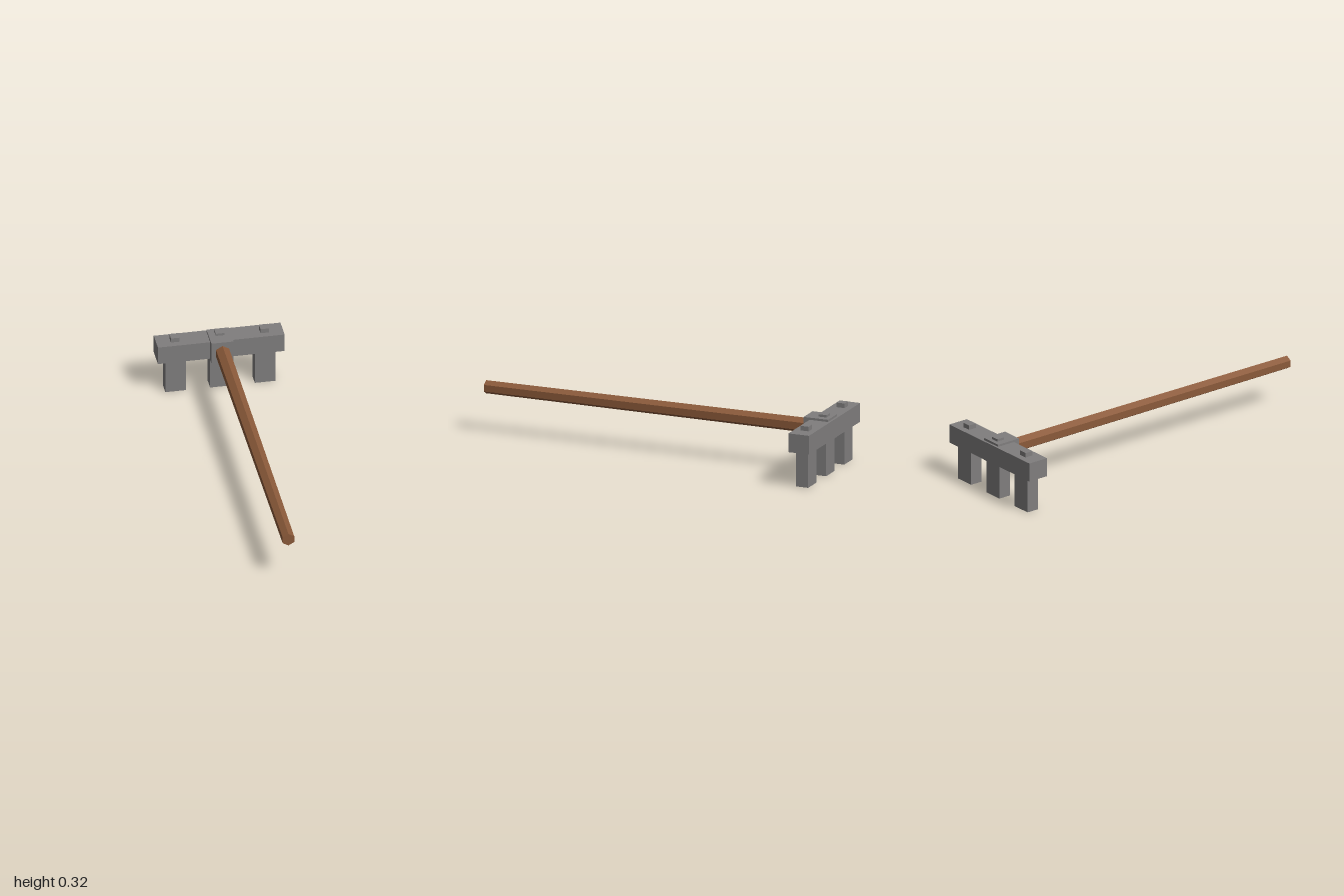
import * as THREE from 'three';

export function createModel() {
  const rake = new THREE.Group();
  rake.name = 'rake';
  const wood = new THREE.MeshStandardMaterial({ color: 0x8b5a3a, flatShading: true });
  wood.name = 'brown wood';
  const iron = new THREE.MeshStandardMaterial({ color: 0x807e7e, flatShading: true });
  iron.name = 'grey iron';

  // Box given by its centre in x, and its ranges in y and z
  const box = (name, x, width, [y0, y1], [z0, z1]) => {
    const mesh = new THREE.Mesh(new THREE.BoxGeometry(width, y1 - y0, z1 - z0), iron);
    mesh.position.set(x, (y0 + y1) / 2, (z0 + z1) / 2);
    mesh.name = name;
    rake.add(mesh);
  };

  // Tapered six-sided handle, with one edge on top
  const back = -0.92, front = 1;
  const handleGeometry = new THREE.CylinderGeometry(0.036, 0.041, front - back, 6);
  handleGeometry.rotateX(Math.PI / 2);
  const handle = new THREE.Mesh(handleGeometry, wood);
  handle.position.set(0, 0.25, (front + back) / 2);
  handle.name = 'handle';
  rake.add(handle);

  // Head: crossbar and the socket that holds the handle
  box('crossbar', 0, 0.68, [0.197, 0.3], [-1, -0.882]);
  box('socket', 0, 0.119, [0.187, 0.312], [-0.988, -0.848]);

  // Three teeth, each with a peg showing above the crossbar
  for (const x of [-0.24, 0, 0.24]) {
    box('tooth', x, 0.111, [0, 0.21], [-0.976, -0.906]);
    box('peg', x, 0.046, [0.29, 0.325], [-0.964, -0.918]);
  }
  return rake;
}
